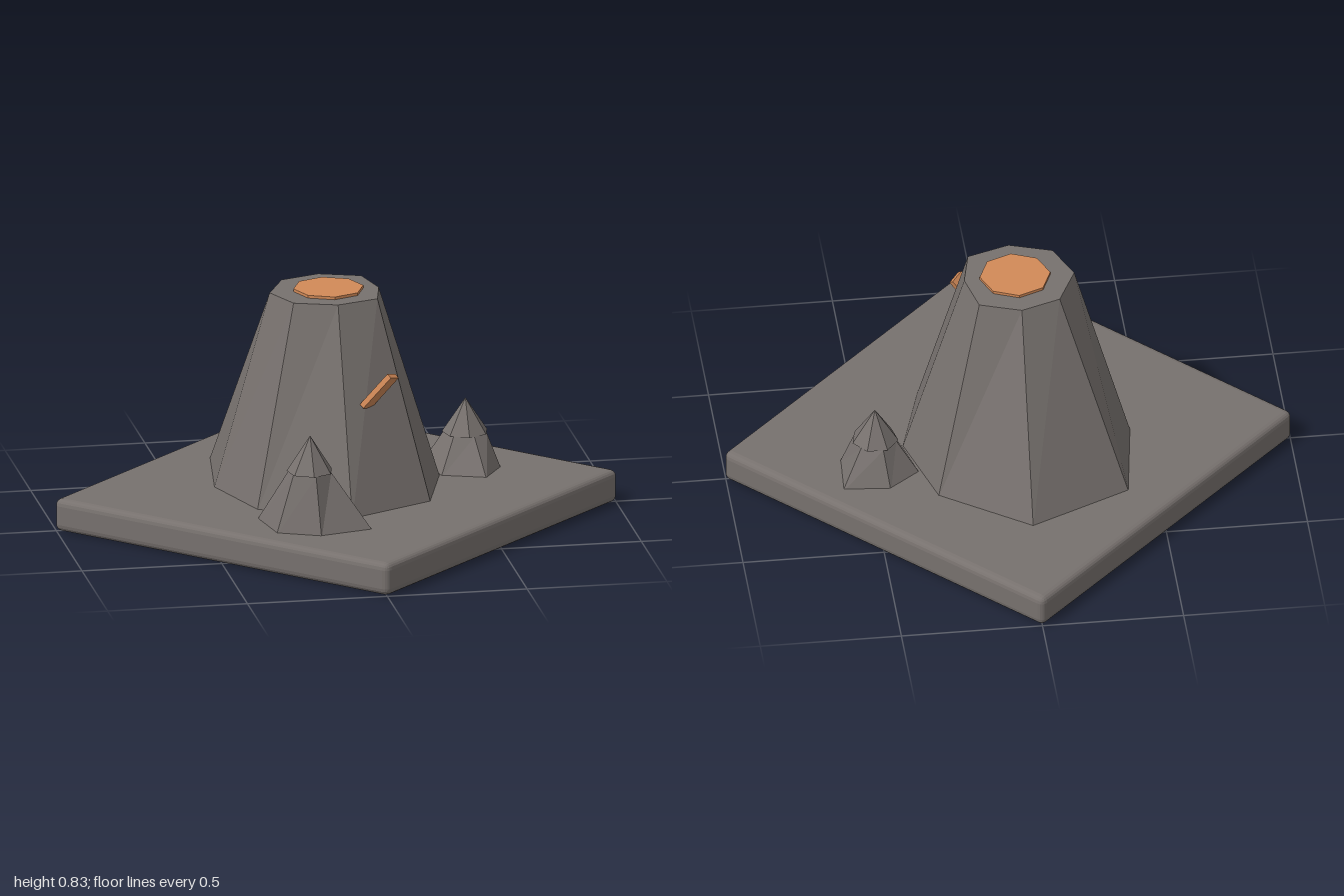
import * as THREE from 'three';
import { RoundedBoxGeometry } from 'three/addons/geometries/RoundedBoxGeometry.js';

const GROUND = 0.118;

// Faceted solid between two outlines of [x, z] points, clockwise seen from above
function loft(lower, upper, y0, y1) {
  const pos = [];
  const tri = (...pts) => pts.forEach((p) => pos.push(...p));
  const at = ([x, z], y) => [x, y, z];
  const n = lower.length;
  for (let i = 0; i < n; i++) {
    const j = (i + 1) % n;
    const a = at(lower[i], y0), b = at(lower[j], y0);
    const c = at(upper[j], y1), d = at(upper[i], y1);
    tri(b, a, d);
    tri(b, d, c);
    if (i > 0 && i < n - 1) tri(at(upper[0], y1), c, d);
  }
  const geo = new THREE.BufferGeometry();
  geo.setAttribute('position', new THREE.Float32BufferAttribute(pos, 3));
  geo.computeVertexNormals();
  return geo;
}

export function createModel() {
  const model = new THREE.Group();
  model.name = 'volcanoTile';
  const rock = new THREE.MeshStandardMaterial({ color: 0x77716e, flatShading: true });
  rock.name = 'rockGrey';
  const lava = new THREE.MeshStandardMaterial({ color: 0xd28a58, flatShading: true });
  lava.name = 'lavaOrange';

  const add = (name, geo, mat, parent = model) => {
    const mesh = new THREE.Mesh(geo, mat);
    mesh.name = name;
    parent.add(mesh);
    return mesh;
  };

  // Square slab turned corner-forward, with softened edges
  const r = 0.025;
  const side = 2 * ((1 - r) / Math.SQRT2 + r);
  const slab = add('baseSlab', new RoundedBoxGeometry(side, GROUND, side, 2, r), rock);
  slab.rotation.y = Math.PI / 4;
  slab.position.y = GROUND / 2;

  // Irregular eight-sided volcano
  const foot = [[-0.02, -0.57], [0.29, -0.35], [0.38, -0.04], [0.29, 0.27],
    [-0.02, 0.43], [-0.33, 0.26], [-0.43, -0.04], [-0.38, -0.4]];
  const rim = [[-0.02, -0.24], [0.125, -0.19], [0.16, -0.04], [0.13, 0.1],
    [-0.02, 0.15], [-0.17, 0.1], [-0.23, -0.04], [-0.16, -0.19]];
  add('volcano', loft(foot, rim, GROUND - 0.01, 0.82), rock);

  // Lava pool in the crater
  const pool = add('lavaPool', new THREE.CylinderGeometry(0.125, 0.125, 0.03, 8), lava);
  pool.position.set(-0.02, 0.815, -0.04);

  // Slanted lava chip on the front slope
  const chip = add('lavaChip', new THREE.BoxGeometry(0.155, 0.055, 0.02), lava);
  const along = new THREE.Vector3(0.1, 0.13, 0.045).normalize();
  const across = new THREE.Vector3(-0.04, 0.015, 0.045).normalize();
  const out = along.clone().cross(across).normalize();
  across.crossVectors(out, along);
  chip.quaternion.setFromRotationMatrix(new THREE.Matrix4().makeBasis(along, across, out));
  chip.position.set(0.105, 0.533, 0.272);

  // Small spires: a flared, uneven skirt with a pointed cap
  const spire = (name, cx, cz, outline, shoulder, tip) => {
    const group = new THREE.Group();
    group.name = name;
    model.add(group);
    const neck = outline.map(([x, z]) => {
      const k = 0.077 / Math.hypot(x - cx, z - cz);
      return [cx + (x - cx) * k, cz + (z - cz) * k];
    });
    add('skirt', loft(outline, neck, GROUND - 0.01, shoulder), rock, group);
    const cap = add('cap', new THREE.ConeGeometry(0.083, tip - shoulder, 7), rock, group);
    cap.position.set(cx, (tip + shoulder) / 2, cz);
  };
  spire('frontSpire', -0.18, 0.475, [[-0.35, 0.36], [-0.19, 0.33], [-0.04, 0.38],
    [0.03, 0.57], [-0.165, 0.62], [-0.315, 0.555]], 0.315, 0.445);
  spire('leftSpire', 0.49, -0.15, [[0.335, -0.2], [0.45, -0.29], [0.62, -0.275],
    [0.61, -0.1], [0.535, 0.025], [0.38, -0.03]], 0.24, 0.365);

  return model;
}
